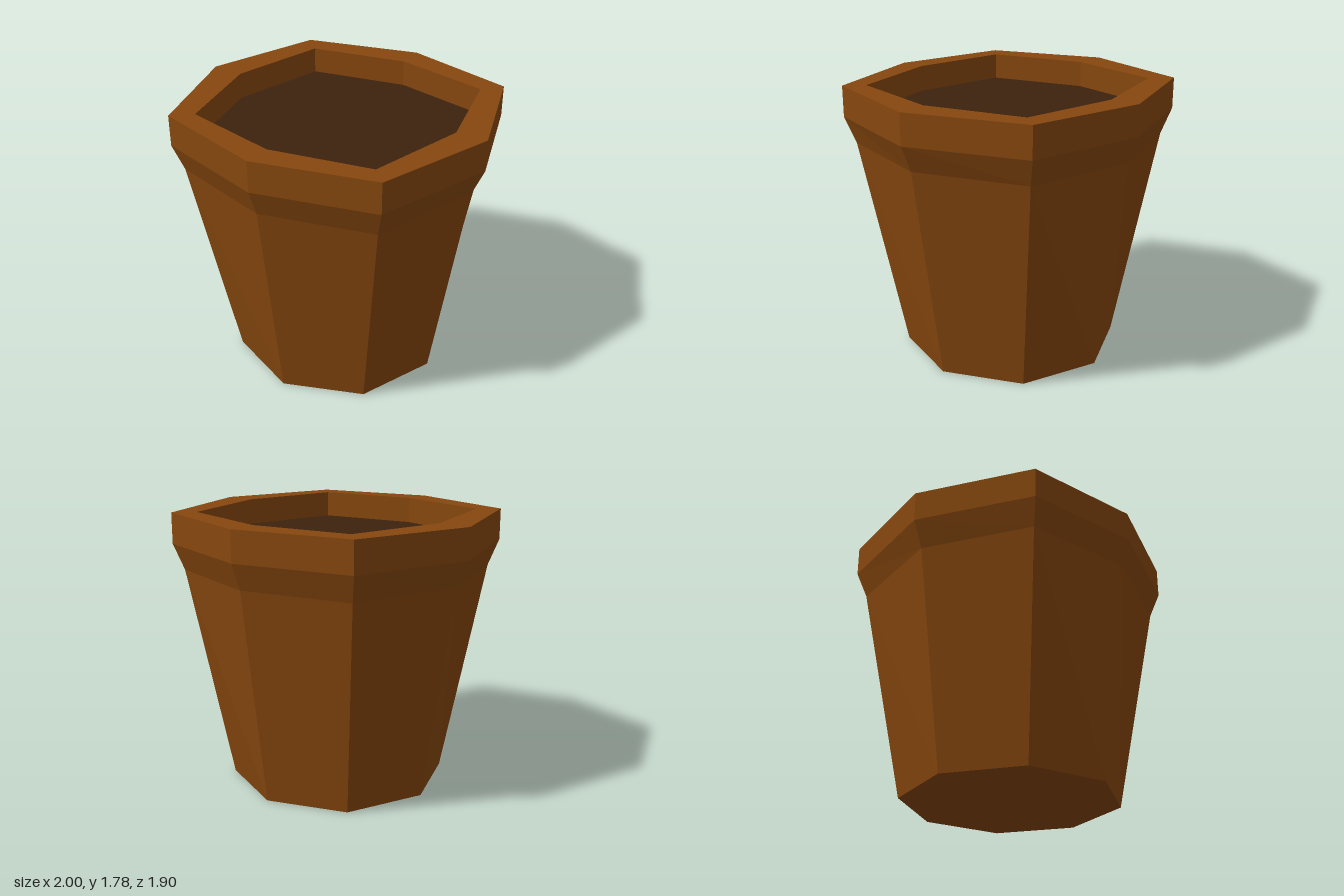
import * as THREE from 'three';

// Irregular octagonal ring: reach along x, reach along z, diagonal corner, shift of the centre
function ring(y, ax, az, d, shift = 0) {
  return [[ax, 0], [d, d], [0, az], [-d, d], [-ax, 0], [-d, -d], [0, -az], [d, -d]]
    .map(([x, z]) => new THREE.Vector3(x + shift, y, z + shift));
}

const point = (y) => ring(y, 0, 0, 0);

// Joins successive rings with faceted bands
function loft(name, rings, material) {
  const points = [];
  const addTriangle = (a, b, c) => {
    if (!a.equals(b) && !b.equals(c) && !c.equals(a)) points.push(a, b, c);
  };
  for (let r = 0; r < rings.length - 1; r++) {
    const from = rings[r], to = rings[r + 1];
    for (let i = 0; i < 8; i++) {
      const j = (i + 1) % 8;
      addTriangle(from[i], to[i], to[j]);
      addTriangle(from[i], to[j], from[j]);
    }
  }
  const geometry = new THREE.BufferGeometry().setFromPoints(points);
  geometry.computeVertexNormals();
  const mesh = new THREE.Mesh(geometry, material);
  mesh.name = name;
  return mesh;
}

export function createModel() {
  const clay = new THREE.MeshStandardMaterial({ color: 0x86470e });
  clay.name = 'clay brown';
  const earth = new THREE.MeshStandardMaterial({ color: 0x3d220d });
  earth.name = 'dark soil';

  const base = ring(0, 0.7, 0.7, 0.5);
  const neck = ring(1.41, 0.925, 0.887, 0.7);
  const lip = ring(1.58, 1, 0.95, 0.75);
  const top = ring(1.78, 1, 0.95, 0.75);
  const mouth = ring(1.78, 0.793, 0.77, 0.637, 0.007);
  const soilEdge = ring(1.61, 0.793, 0.77, 0.637, 0.007);

  const group = new THREE.Group();
  group.name = 'flowerPot';
  group.add(
    // Tapered body with closed underside
    loft('potBody', [point(0), base, neck], clay),
    // Flared collar, flat rim and inner wall
    loft('potRim', [neck, lip, top, mouth, soilEdge], clay),
    // Soil surface sunk below the rim
    loft('soil', [soilEdge, point(1.61)], earth),
  );
  return group;
}
